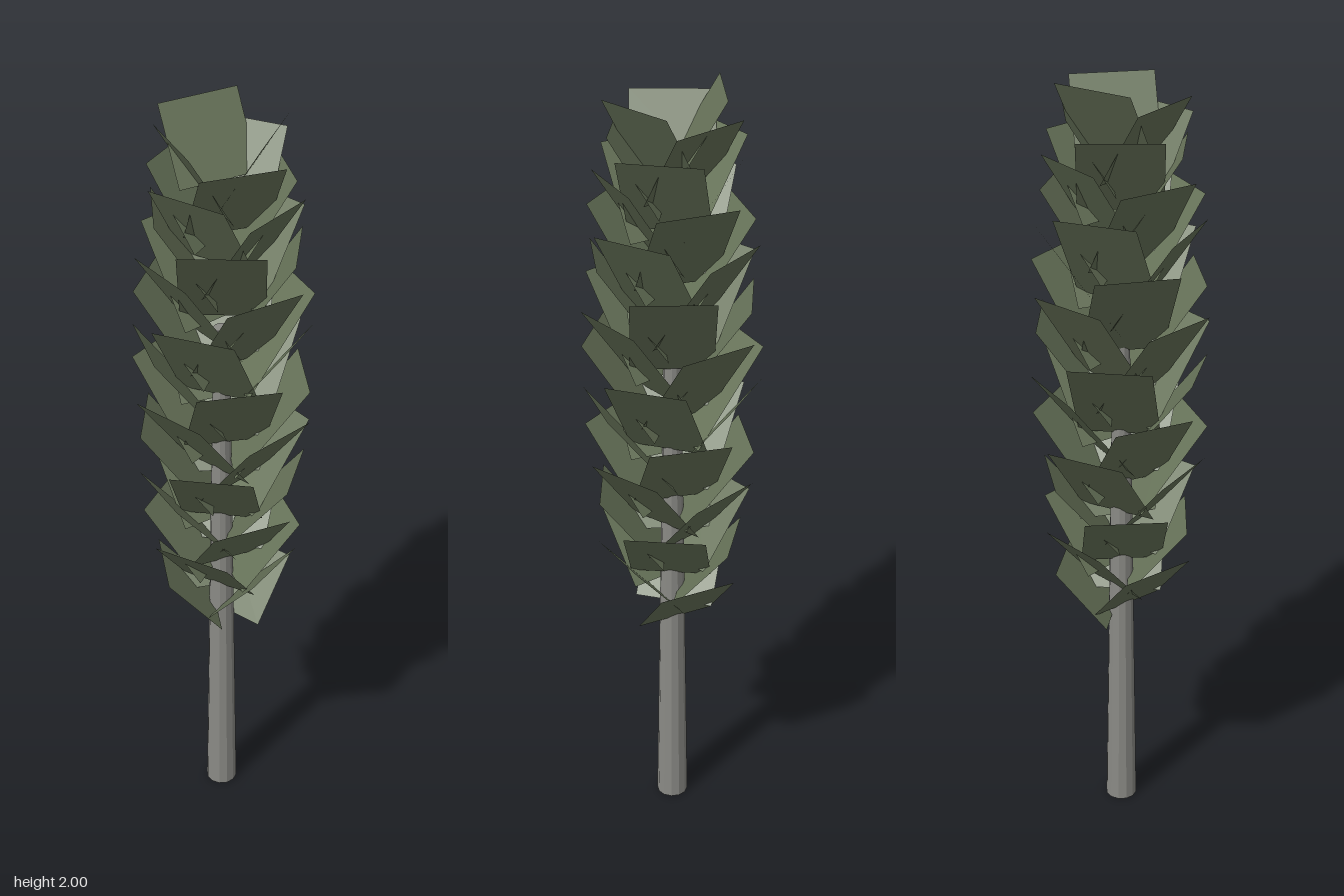
import * as THREE from 'three';

export function createModel() {
  const tree = new THREE.Group();
  tree.name = 'columnarTree';

  const bark = new THREE.MeshStandardMaterial({ color: 0x8a8a85, flatShading: true });
  bark.name = 'greyBark';
  const foliage = new THREE.MeshStandardMaterial({ color: 0x677359, side: THREE.DoubleSide, flatShading: true });
  foliage.name = 'darkGreenFoliage';

  // Slender tapering trunk
  const trunkHeight = 1.45;
  const trunk = new THREE.Mesh(new THREE.CylinderGeometry(0.02, 0.041, trunkHeight, 12), bark);
  trunk.name = 'trunk';
  trunk.position.set(-0.008, trunkHeight / 2, -0.012);
  tree.add(trunk);

  // Level leaf cards in a golden-angle spiral, rooted in the trunk and leaning outward
  const leaves = new THREE.Group();
  leaves.name = 'foliage';
  leaves.position.set(-0.006, 0, -0.009);
  const count = 46;
  const turn = THREE.MathUtils.degToRad(137.5);
  for (let i = 0; i < count; i++) {
    const t = i / (count - 1);
    const length = 0.2 + 0.105 * Math.sin(Math.PI * t); // longest halfway up
    const card = new THREE.PlaneGeometry(0.205, length);
    card.translate(0, length / 2, 0);
    card.rotateX(0.72 - 0.19 * t);
    card.translate(0, 0.577 + 1.25 * t, 0.018);
    card.rotateY(i * turn + Math.PI / 2);
    const leaf = new THREE.Mesh(card, foliage);
    leaf.name = 'leafCard' + (i + 1);
    leaves.add(leaf);
  }
  tree.add(leaves);

  return tree;
}
